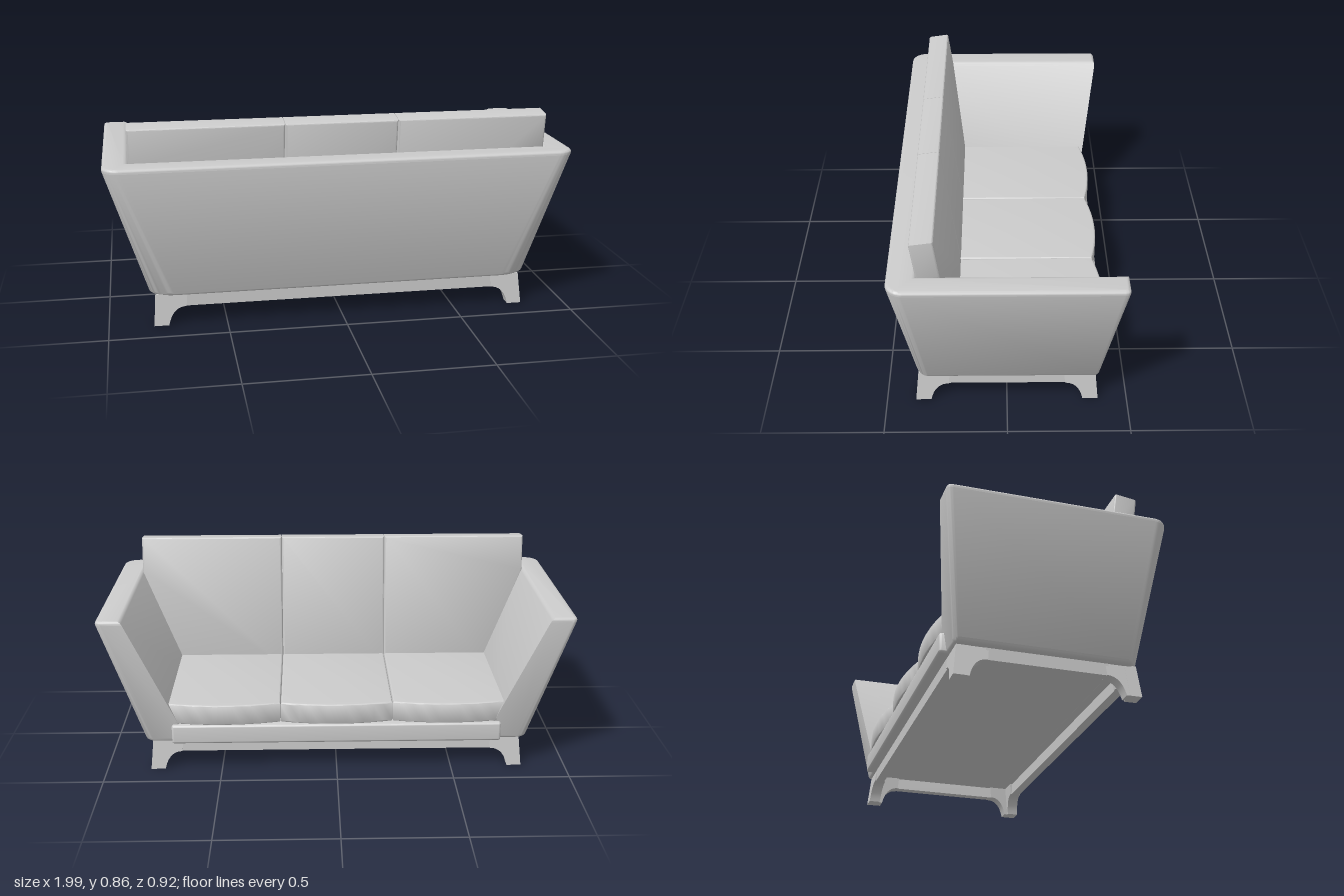
import * as THREE from 'three';
import { toCreasedNormals } from 'three/addons/utils/BufferGeometryUtils.js';
import { RoundedBoxGeometry } from 'three/addons/geometries/RoundedBoxGeometry.js';

const material = new THREE.MeshStandardMaterial({ color: 0xcccccc });

// Extrude a shape with softly rounded edges that stay inside its outline
function extrude(shape, depth, bevel, curveSegments = 8) {
  return new THREE.ExtrudeGeometry(shape, {
    depth: depth - 2 * bevel, curveSegments, bevelEnabled: bevel > 0,
    bevelSize: bevel, bevelThickness: bevel, bevelOffset: -bevel, bevelSegments: 4,
  }).translate(0, 0, bevel);
}

// Lay a plan shape (x, z) flat so that it spans from bottom to top
function extrudePlan(shape, bottom, top, bevel, curveSegments) {
  return extrude(shape, top - bottom, bevel, curveSegments).rotateX(Math.PI / 2).translate(0, top, 0);
}

// Move every vertex by a rule
function deform(geometry, rule) {
  const p = geometry.attributes.position;
  const v = new THREE.Vector3();
  for (let i = 0; i < p.count; i++) {
    rule(v.fromBufferAttribute(p, i));
    p.setXYZ(i, v.x, v.y, v.z);
  }
  return geometry;
}

function add(parent, name, geometry, crease = 0.6) {
  const mesh = new THREE.Mesh(toCreasedNormals(geometry, crease), material);
  mesh.name = name;
  parent.add(mesh);
  return mesh;
}

// Arms and back in one U-shaped shell that flares upward
function shellGeometry() {
  const s = new THREE.Shape();
  s.moveTo(-0.89, -0.465);
  s.lineTo(-0.89, 0.345);
  s.lineTo(0.89, 0.345);
  s.lineTo(0.89, -0.465);
  s.lineTo(0.975, -0.465);
  s.quadraticCurveTo(1, -0.465, 1, -0.44);
  s.lineTo(1, 0.395);
  s.absarc(0.93, 0.395, 0.07, 0, Math.PI / 2, false);
  s.lineTo(-0.93, 0.465);
  s.absarc(-0.93, 0.395, 0.07, Math.PI / 2, Math.PI, false);
  s.lineTo(-1, -0.44);
  s.quadraticCurveTo(-1, -0.465, -0.975, -0.465);
  s.closePath();
  return deform(extrudePlan(s, 0.13, 0.71, 0.018), (v) => {
    const down = (0.71 - v.y) / 0.58;
    const ax = Math.abs(v.x);
    // the inner wall leans in more than the outer wall
    const lean = ax < 0.89 ? 0.247 * ax / 0.89 : 0.247 - 0.067 * (ax - 0.89) / 0.11;
    v.x -= Math.sign(v.x) * lean * down;
    v.z *= 1 - 0.183 * down;
  });
}

// Seat cushion with a bowed front edge
function seatGeometry(x0, x1) {
  const s = new THREE.Shape();
  s.moveTo(x0, -0.385);
  s.quadraticCurveTo((x0 + x1) / 2, -0.445, x1, -0.385);
  s.lineTo(x1, 0.25);
  s.lineTo(x0, 0.25);
  s.closePath();
  return extrudePlan(s, 0.22, 0.31, 0.008, 12);
}

// Back cushion outline, upright in its own plane
function backGeometry(points) {
  const s = new THREE.Shape(points.map(([x, y]) => new THREE.Vector2(x, y)));
  return extrude(s, 0.095, 0.008);
}

// Leg bracket: foot at the outer end, curving up into the rail
function bracketGeometry(outer, foot, inner, thickness) {
  const s = new THREE.Shape();
  s.moveTo(outer, 0);
  s.lineTo(outer, 0.135);
  s.lineTo(inner, 0.135);
  s.lineTo(inner, 0.08);
  s.bezierCurveTo(inner + (foot - inner) * 0.65, 0.08, foot - 0.005, 0.045, foot, 0);
  s.closePath();
  return extrude(s, thickness, 0, 10);
}

export function createModel() {
  const sofa = new THREE.Group();
  sofa.name = 'sofa';

  add(sofa, 'armsAndBack', shellGeometry());

  // Seat platform between the arms
  const platform = new RoundedBoxGeometry(1.42, 0.085, 0.72, 3, 0.01).translate(0, 0.1745, -0.05);
  add(sofa, 'seatPlatform', platform);

  // Seat cushions
  const seats = [[-0.735, -0.242], [-0.24, 0.24], [0.242, 0.735]];
  seats.forEach(([a, b]) => add(sofa, 'seatCushion', seatGeometry(a, b)));

  // Back cushions, outer ones following the lean of the arms
  const backs = new THREE.Group();
  backs.name = 'backCushions';
  backs.position.set(0, 0.251, 0.191);
  backs.rotation.x = 0.139;
  add(backs, 'middleBackCushion', backGeometry([[-0.239, 0], [0.239, 0], [0.239, 0.62], [-0.239, 0.62]]));
  const side = [[0.241, 0], [0.71, 0], [0.89, 0.46], [0.89, 0.62], [0.241, 0.62]];
  add(backs, 'leftBackCushion', backGeometry(side));
  add(backs, 'rightBackCushion', backGeometry(side.map(([x, y]) => [-x, y]).reverse()));
  sofa.add(backs);

  // Base rails
  for (const sign of [-1, 1]) {
    add(sofa, 'longRail', new THREE.BoxGeometry(1.36, 0.053, 0.04).translate(0, 0.1065, sign * 0.347));
    add(sofa, 'sideRail', new THREE.BoxGeometry(0.04, 0.053, 0.5).translate(sign * 0.777, 0.1065, 0));
  }

  // Corner legs: two brackets each, splayed slightly outward
  const splay = (v) => {
    const out = (0.13 - v.y) * 0.1;
    v.x += Math.sign(v.x) * out;
    v.z += Math.sign(v.z) * out;
  };
  for (const sx of [-1, 1]) {
    for (const sz of [-1, 1]) {
      const leg = new THREE.Group();
      leg.name = 'leg';
      const along = bracketGeometry(0.797, 0.735, 0.667, 0.05);
      if (sx < 0) along.rotateY(Math.PI).translate(0, 0, 0.05);
      along.translate(0, 0, sz > 0 ? 0.317 : -0.367);
      add(leg, 'longBracket', deform(along, splay));
      const across = bracketGeometry(0.366, 0.303, 0.237, 0.05).rotateY(-sz * Math.PI / 2);
      across.translate(sz > 0 ? 0.05 : 0, 0, 0).translate(sx > 0 ? 0.746 : -0.796, 0, 0);
      if (sz < 0) across.translate(0, 0, 0);
      add(leg, 'sideBracket', deform(across, splay));
      sofa.add(leg);
    }
  }
  return sofa;
}
